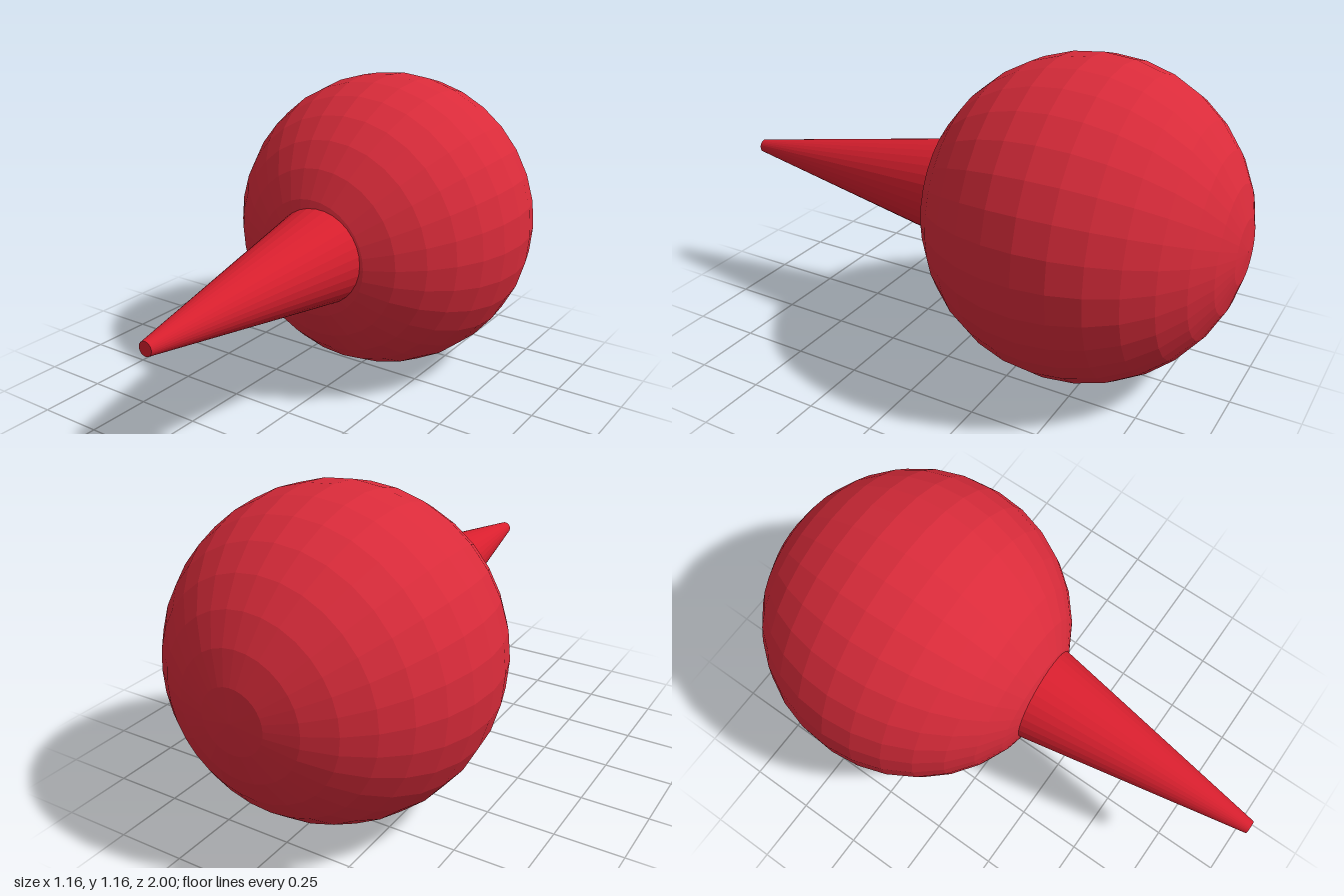
import * as THREE from 'three';

export function createModel() {
  const model = new THREE.Group();
  model.name = 'ballWithSpike';

  const paint = (color) => new THREE.MeshStandardMaterial({ color, flatShading: true });

  // Shared axis: almost straight ahead, leaning slightly to one side
  const axis = new THREE.Vector3(0.018, -0.008, 1).normalize();
  const tilt = new THREE.Quaternion().setFromUnitVectors(new THREE.Vector3(0, 0, 1), axis);

  // Faceted ball with its poles along the axis
  const radius = 0.579;
  const ballGeometry = new THREE.SphereGeometry(radius, 32, 16).rotateX(Math.PI / 2);
  const ball = new THREE.Mesh(ballGeometry, paint(0xd92b3a));
  ball.name = 'ball';
  ball.quaternion.copy(tilt);
  ball.position.set(0, 0.581, -0.421);
  model.add(ball);

  // Tapered spike with a small flat tip, its root sunk into the ball
  const tipRadius = 0.025, rootRadius = 0.202, length = 1;
  const spikeGeometry = new THREE.CylinderGeometry(tipRadius, rootRadius, length, 32)
    .rotateX(Math.PI / 2)
    .translate(0, 0, -length / 2);
  const spike = new THREE.Mesh(spikeGeometry, paint(0xd81f2e));
  spike.name = 'spike';
  spike.quaternion.copy(tilt);
  spike.position.set(0.054, 0.584, 1);
  model.add(spike);

  return model;
}
